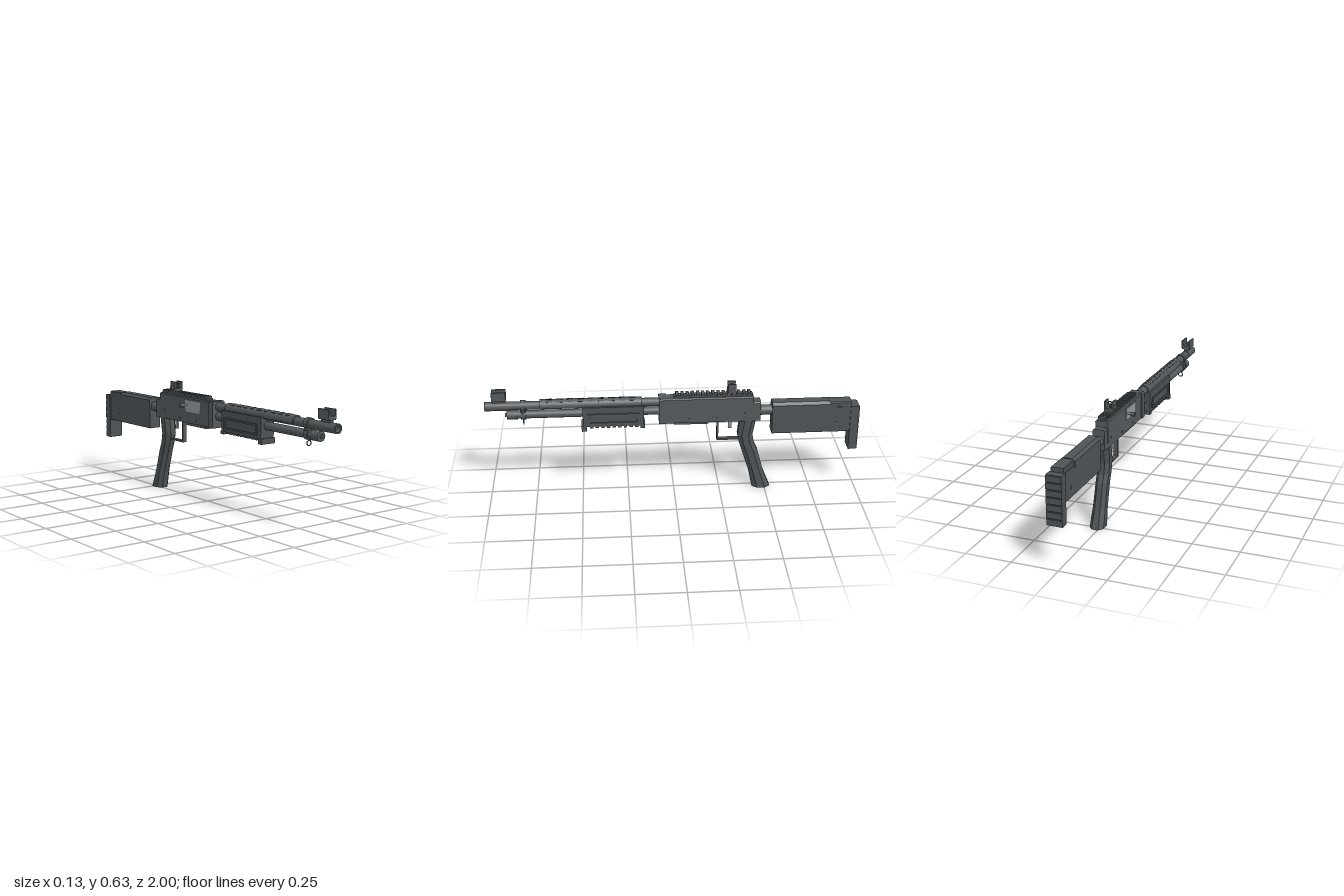
import * as THREE from 'three';

const mat = (name, color, side = THREE.FrontSide) => {
  const m = new THREE.MeshStandardMaterial({ color, side });
  m.name = name;
  return m;
};

export function createModel() {
  const root = new THREE.Group();
  const body = new THREE.Group();
  body.name = 'body';
  body.position.x = 0.014; // the long axis lies beside x = 0, as the handle sticks out
  root.add(body);

  const metal = mat('gunmetal', 0x54595c);
  const polymer = mat('dark polymer', 0x4e5356);
  const steel = mat('bright steel', 0x94989b);
  const black = mat('black openings', 0x222426);

  const add = (name, geo, m) => {
    const mesh = new THREE.Mesh(geo, m);
    mesh.name = name;
    body.add(mesh);
    return mesh;
  };
  const box = (name, m, x0, x1, y0, y1, z0, z1) => {
    const g = new THREE.BoxGeometry(x1 - x0, y1 - y0, z1 - z0);
    g.translate((x0 + x1) / 2, (y0 + y1) / 2, (z0 + z1) / 2);
    return add(name, g, m);
  };
  // Cylinder along z
  const rod = (name, m, r, y, z0, z1, x = 0, n = 20) => {
    const g = new THREE.CylinderGeometry(r, r, z1 - z0, n).rotateX(Math.PI / 2);
    return add(name, g.translate(x, y, (z0 + z1) / 2), m);
  };
  // Cylinder along x
  const pin = (name, m, r, y, z, x0, x1) => {
    const g = new THREE.CylinderGeometry(r, r, x1 - x0, 14).rotateZ(Math.PI / 2);
    return add(name, g.translate((x0 + x1) / 2, y, z), m);
  };
  // Cross-section extruded along z
  const extrude = (name, m, shape, z0, z1) => {
    const g = new THREE.ExtrudeGeometry(shape, { depth: z1 - z0, bevelEnabled: false, curveSegments: 18 });
    return add(name, g.translate(0, 0, z0), m);
  };
  // Block with chamfered upper edges
  const chamfered = (name, m, w, y0, y1, c, z0, z1) => extrude(name, m, new THREE.Shape(
    [[-w, y0], [w, y0], [w, y1 - c], [w - c, y1], [c - w, y1], [-w, y1 - c]].map(p => new THREE.Vector2(...p))
  ), z0, z1);
  const ring = (r, hole, y) => {
    const s = new THREE.Shape().absarc(0, y, r, 0, Math.PI * 2);
    s.holes.push(new THREE.Path().absarc(0, y, hole, 0, Math.PI * 2, true));
    return s;
  };

  // Barrel, muzzle and magazine tube
  const by = 0.53, ty = 0.478;
  rod('barrel', metal, 0.023, by, 0.05, 0.9);
  extrude('muzzle', metal, ring(0.025, 0.018, by), 0.88, 1);
  rod('bore', black, 0.018, by, 0.9, 0.904);
  rod('magazineTube', metal, 0.022, ty, 0.05, 0.86);
  rod('magazineCap', metal, 0.026, ty, 0.83, 0.885);
  rod('magazineCapStud', metal, 0.01, ty, 0.885, 0.895);

  // Heat shield over the barrel, with vent slots
  const a0 = -0.35, a1 = Math.PI + 0.35;
  const shield = new THREE.Shape().absarc(0, by, 0.031, a0, a1);
  shield.absarc(0, by, 0.0225, a1, a0, true);
  extrude('heatShield', metal, shield, 0.17, 0.71);
  for (const a of [-0.65, 0, 0.65]) for (let i = 0; i < 9; i++) {
    const g = new THREE.BoxGeometry(0.006, 0.003, 0.032);
    g.translate(0, 0.0307, 0).rotateZ(a).translate(0, by, 0.22 + i * 0.055);
    add('ventSlot', g, black);
  }

  // Barrel clamp and sling loop
  extrude('barrelClamp', metal, ring(0.03, 0.022, by), 0.785, 0.812);
  extrude('tubeClamp', metal, ring(0.028, 0.021, ty), 0.785, 0.812);
  box('clampWeb', metal, -0.019, 0.019, 0.492, 0.516, 0.785, 0.812);
  pin('clampScrew', metal, 0.008, 0.504, 0.799, -0.03, 0.038);
  add('slingLoop', new THREE.TorusGeometry(0.013, 0.003, 8, 20).translate(0, 0.435, 0.799), metal);

  // Front and rear sights: base, two ears, post, hoop and knob
  const sight = (name, z0, z1, y0, y1) => {
    const zc = (z0 + z1) / 2;
    box(name + 'Base', metal, -0.021, 0.021, y0, y0 + 0.02, z0, z1);
    for (const s of [-1, 1]) {
      const x = s * 0.021;
      box(name + 'Ear', metal, x - 0.004, x + 0.004, y0 + 0.005, y1, z0, z1);
    }
    box(name + 'Post', metal, -0.004, 0.004, y0 + 0.015, y1 - 0.018, zc - 0.006, zc + 0.006);
  };
  box('frontSightFoot', metal, -0.01, 0.01, 0.548, 0.572, 0.89, 0.955);
  sight('frontSight', 0.885, 0.96, 0.566, 0.618);
  sight('rearSight', -0.332, -0.288, 0.572, 0.63);
  add('rearSightHoop', new THREE.TorusGeometry(0.01, 0.003, 8, 18).translate(0, 0.614, -0.31), metal);
  pin('rearSightKnob', metal, 0.011, 0.594, -0.31, -0.038, -0.022);

  // Receiver with front collar, tail and lower loading gate
  chamfered('receiver', metal, 0.034, 0.415, 0.558, 0.006, -0.425, 0.045);
  chamfered('receiverCollar', metal, 0.04, 0.415, 0.56, 0.006, 0.04, 0.08);
  chamfered('receiverTail', metal, 0.033, 0.415, 0.525, 0.008, -0.465, -0.42);
  box('loadingGate', metal, -0.022, 0.022, 0.4, 0.418, -0.185, 0);
  for (const [y, z] of [[0.435, -0.08], [0.435, -0.23], [0.46, -0.38]])
    pin('receiverPin', metal, 0.006, y, z, -0.0365, 0.0365);

  // Ejection port on the right, with bolt handle
  box('ejectionPort', steel, -0.037, -0.033, 0.478, 0.542, -0.175, -0.04);
  pin('boltHandleStem', steel, 0.006, 0.515, -0.165, -0.06, -0.03);
  pin('boltHandleKnob', metal, 0.0115, 0.515, -0.165, -0.081, -0.057);

  // Toothed top rail
  box('topRail', metal, -0.021, 0.021, 0.555, 0.567, -0.42, 0);
  for (let i = 0; i < 15; i++) {
    const z = -0.018 - i * 0.0275;
    box('railTooth', metal, -0.024, 0.024, 0.566, 0.577, z - 0.008, z + 0.008);
  }

  // Sliding forend with raised side frames and ribbed underside
  box('forend', polymer, -0.043, 0.043, 0.414, 0.525, 0.16, 0.485);
  for (const s of [-1, 1]) {
    const panel = (name, y0, y1, z0, z1) =>
      box(name, polymer, s * 0.0455 - 0.0035, s * 0.0455 + 0.0035, y0, y1, z0, z1);
    panel('forendFrameTop', 0.478, 0.488, 0.185, 0.46);
    panel('forendFrameBottom', 0.428, 0.438, 0.185, 0.46);
    panel('forendFrameEnd', 0.438, 0.478, 0.185, 0.197);
    panel('forendFrameEnd', 0.438, 0.478, 0.448, 0.46);
  }
  box('forendFrontLip', polymer, -0.044, 0.044, 0.386, 0.416, 0.465, 0.493);
  box('forendRearLip', polymer, -0.044, 0.044, 0.398, 0.416, 0.155, 0.18);
  for (let i = 0; i < 9; i++) {
    const z = 0.2 + i * 0.03;
    box('forendRib', polymer, -0.04, 0.04, 0.403, 0.416, z - 0.009, z + 0.009);
  }

  // Trigger and guard
  box('guardFront', metal, -0.012, 0.012, 0.295, 0.418, -0.241, -0.232);
  box('guardBottom', metal, -0.012, 0.012, 0.293, 0.302, -0.36, -0.232);
  const trigger = box('trigger', steel, -0.006, 0.006, 0.362, 0.418, -0.312, -0.294);
  trigger.name = 'trigger';

  // Eight-sided curved grip: height, front z, back z, half width
  const rings = [
    [0.415, -0.358, -0.442, 0.035], [0.37, -0.35, -0.435, 0.035], [0.325, -0.345, -0.427, 0.034],
    [0.27, -0.357, -0.437, 0.033], [0.225, -0.372, -0.458, 0.032], [0.16, -0.393, -0.475, 0.033],
    [0.1, -0.412, -0.492, 0.034], [0.04, -0.425, -0.515, 0.037], [0, -0.433, -0.532, 0.038]];
  const outline = [[1, -0.45], [1, 0.45], [0.45, 1], [-0.45, 1], [-1, 0.45], [-1, -0.45], [-0.45, -1], [0.45, -1]];
  const P = [], n = 8, last = rings.length - 1;
  const point = (i, j) => {
    const [y, f, b, w] = rings[i], [u, v] = outline[j % n];
    return [u * w, y, (f + b) / 2 + v * (f - b) / 2];
  };
  const centre = i => [0, rings[i][0], (rings[i][1] + rings[i][2]) / 2];
  for (let j = 0; j < n; j++) {
    for (let i = 0; i < last; i++) {
      const a = point(i, j), b = point(i, j + 1), c = point(i + 1, j), d = point(i + 1, j + 1);
      P.push(...a, ...b, ...c, ...b, ...d, ...c);
    }
    P.push(...centre(0), ...point(0, j + 1), ...point(0, j));
    P.push(...centre(last), ...point(last, j), ...point(last, j + 1));
  }
  const grip = new THREE.BufferGeometry();
  grip.setAttribute('position', new THREE.Float32BufferAttribute(P, 3));
  grip.computeVertexNormals();
  add('grip', grip, polymer);

  // Stock: connecting tube, body, cheek rest, screw and ridged butt pad
  rod('stockTube', metal, 0.028, 0.464, -0.54, -0.46);
  box('stockBody', polymer, -0.036, 0.036, 0.337, 0.485, -0.955, -0.528);
  chamfered('cheekRest', polymer, 0.038, 0.47, 0.516, 0.014, -0.838, -0.528);
  chamfered('stockHeel', polymer, 0.034, 0.48, 0.512, 0.004, -0.955, -0.838);
  pin('stockScrew', metal, 0.011, 0.386, -0.873, -0.038, 0.038);
  box('buttPad', polymer, -0.041, 0.041, 0.229, 0.488, -0.994, -0.952);
  for (let i = 0; i < 7; i++) {
    const y = 0.229 + i * 0.037;
    box('padRidge', polymer, -0.041, 0.041, y + 0.003, y + 0.034, -1, -0.993);
  }
  return root;
}
